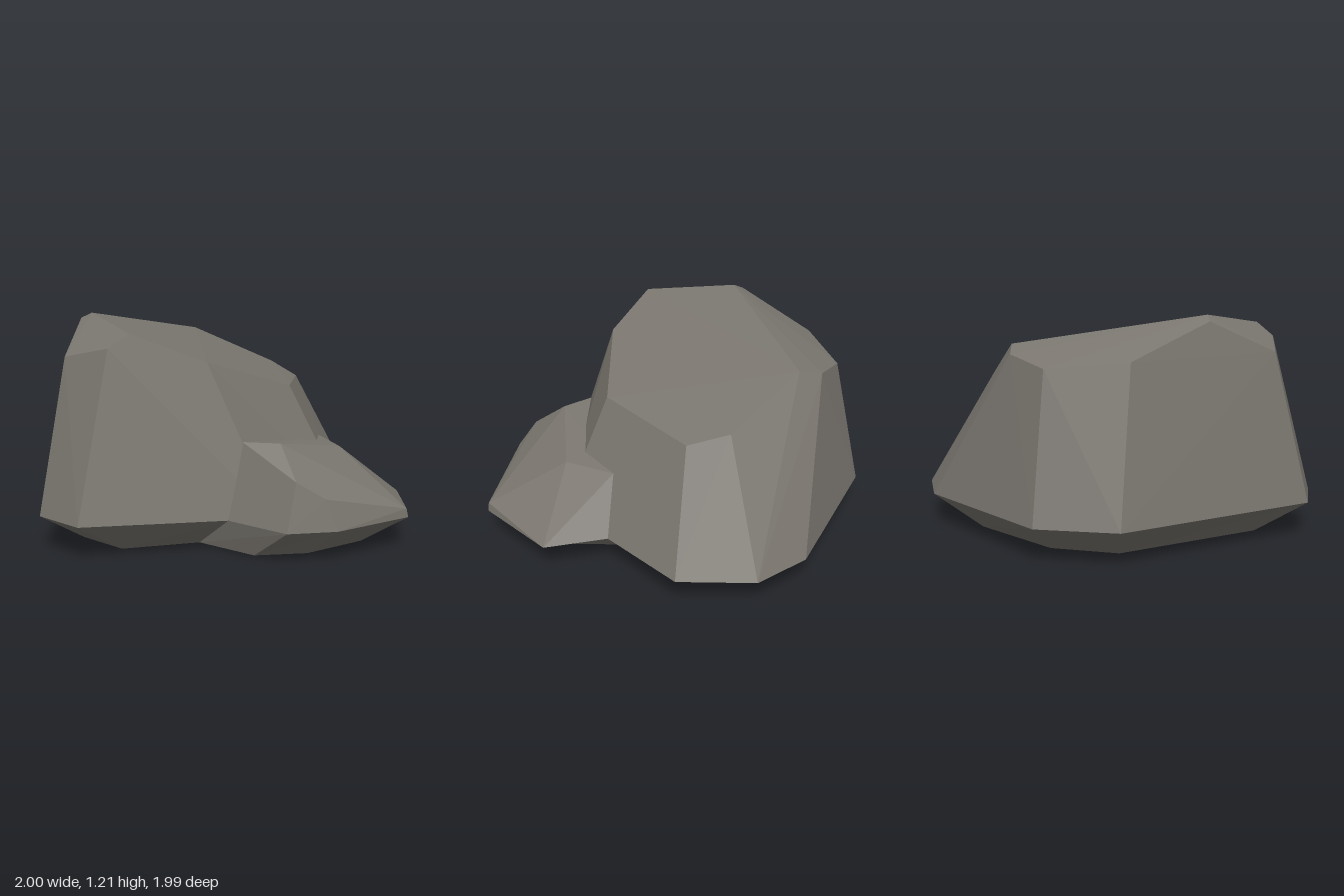
import * as THREE from 'three';
import { ConvexGeometry } from 'three/addons/geometries/ConvexGeometry.js';

const V = (p) => new THREE.Vector3(...p);
// widest outline of the stone, slightly tilted
const rimPoint = ([x, z]) => [x, 0.185 - 0.013 * x, z];

// each entry: rim x, rim z, foot x, foot z
const OUTLINE = [
  [-1, 0.65, -0.79, 0.46], [-0.79, 0.85, -0.58, 0.66], [-0.03, 0.76, -0.17, 0.58],
  [0.24, 0.99, 0.1, 0.8], [0.5, 0.96, 0.38, 0.78], [0.92, 0.73, 0.7, 0.6],
  [1, 0.21, 0.78, 0.39], [0.73, -0.02, 0.52, 0.01], [0.82, -0.55, 0.62, -0.35],
  [0.58, -0.9, 0.39, -0.71], [0.26, -1, 0.06, -0.79], [-0.66, -0.83, -0.48, -0.64],
  [-0.95, -0.5, -0.74, -0.38],
];

// undercut skirt and flat underside
function baseGeometry() {
  const rim = OUTLINE.map(([x, z]) => rimPoint([x, z]));
  const foot = OUTLINE.map(([, , x, z]) => [x, 0.01 - 0.008 * x, z]);
  const pos = [];
  const tri = (a, b, c) => pos.push(...a, ...b, ...c);
  for (let i = 0; i < rim.length; i++) {
    const j = (i + 1) % rim.length;
    tri(foot[i], foot[j], rim[j]);
    tri(foot[i], rim[j], rim[i]);
  }
  const flat = foot.map(([x, , z]) => new THREE.Vector2(x, -z));
  for (const [a, b, c] of THREE.ShapeUtils.triangulateShape(flat, [])) tri(foot[c], foot[b], foot[a]);
  const g = new THREE.BufferGeometry();
  g.setAttribute('position', new THREE.Float32BufferAttribute(pos, 3));
  g.computeVertexNormals();
  return g;
}

// faceted boulder: rim points below, crown points above
const boulder = (rim, crown) => new ConvexGeometry([...rim.map(rimPoint), ...crown].map(V));

export function createModel() {
  const model = new THREE.Group();
  model.name = 'rock';
  const stone = new THREE.MeshStandardMaterial({ color: 0x7a766f, flatShading: true });
  stone.name = 'stone grey';
  const add = (name, geometry) => {
    const mesh = new THREE.Mesh(geometry, stone);
    mesh.name = name;
    model.add(mesh);
  };

  add('base', baseGeometry());

  // tall block with a top sloping down to the left
  add('mainBoulder', boulder(
    [[-1, 0.65], [-0.79, 0.85], [0.22, 0.73], [0.66, 0.39], [0.82, -0.55],
      [0.58, -0.9], [0.26, -1], [-0.66, -0.83], [-0.95, -0.5]],
    [[-0.86, 1.01, 0.51], [-0.63, 1.07, 0.69], [-0.52, 1.14, 0.665], [-0.13, 0.99, 0.635],
      [0.35, 0.81, 0.28], [0.49, 0.77, -0.38], [0.36, 0.84, -0.57], [-0.13, 1.05, -0.68],
      [-0.26, 1.01, -0.75], [-0.54, 0.96, -0.7], [-0.81, 1.0, -0.36], [-0.8, 1.18, 0.12],
      [-0.74, 1.21, 0.15]],
  ));

  // low lump leaning on the front left corner
  add('sideBoulder', boulder(
    [[-0.03, 0.76], [0.24, 0.99], [0.5, 0.96], [0.92, 0.73], [1, 0.21], [0.73, -0.02]],
    [[0.05, 0.58, 0.68], [0.24, 0.58, 0.73], [0.29, 0.43, 0.94], [0.44, 0.34, 0.94],
      [0.91, 0.22, 0.73], [0.69, 0.42, 0.385], [0.62, 0.48, 0.37], [0.56, 0.48, 0.07]],
  ));
  return model;
}
